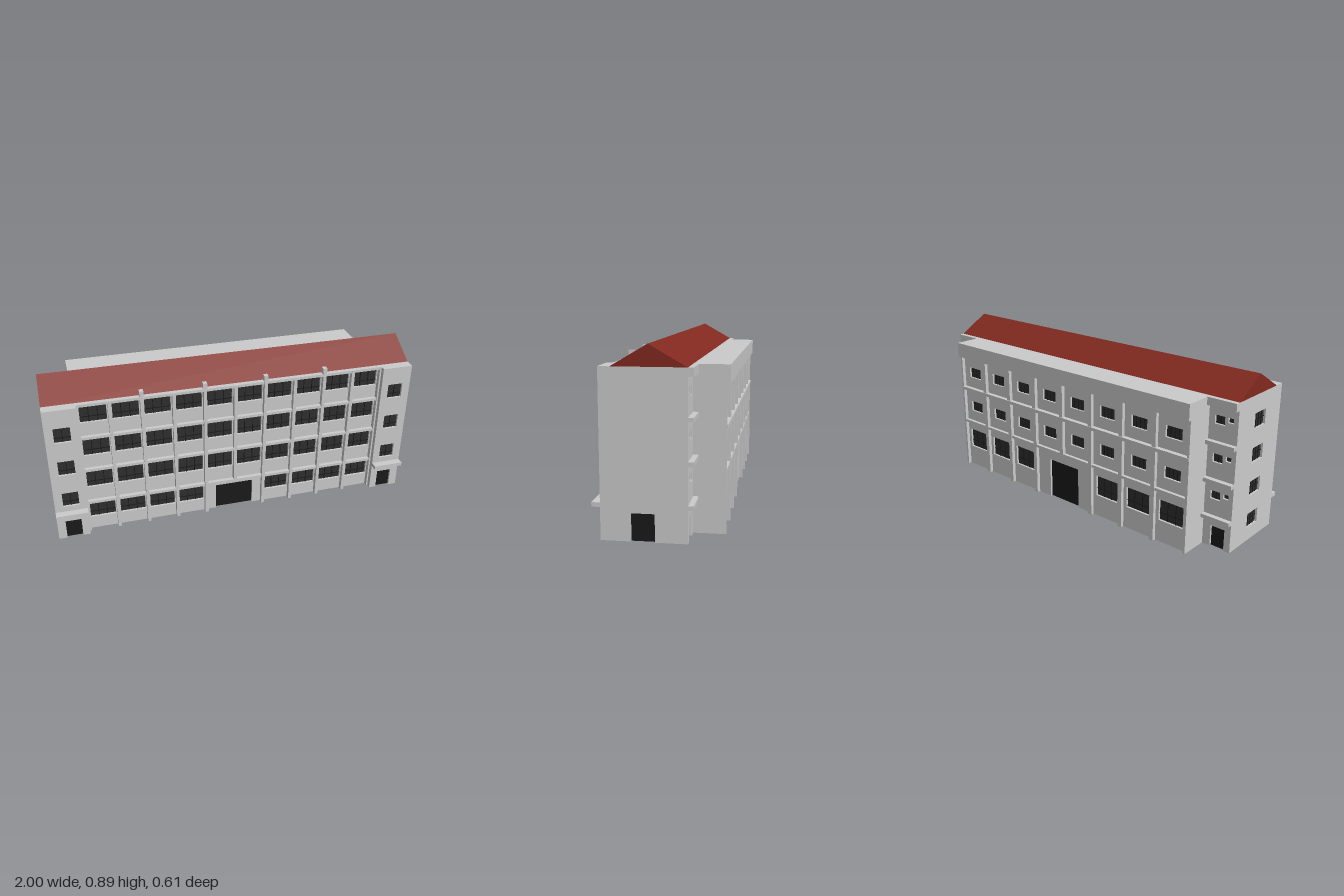
import * as THREE from 'three';

const WALL = new THREE.MeshStandardMaterial({ color: 0xcccccc });
const ROOF = new THREE.MeshStandardMaterial({ color: 0x82291f });
const GLASS = new THREE.MeshStandardMaterial({ color: 0x2f2f2f });
const DARK = new THREE.MeshStandardMaterial({ color: 0x1a1a1a });

const H = 0.79;   // eaves height
const T = 0.02;   // thickness of the outer walls

// Box given by its limits on each axis
function box(parent, name, [x0, x1], [y0, y1], [z0, z1], material = WALL) {
  const mesh = new THREE.Mesh(new THREE.BoxGeometry(x1 - x0, y1 - y0, z1 - z0), material);
  mesh.position.set((x0 + x1) / 2, (y0 + y1) / 2, (z0 + z1) / 2);
  mesh.name = name;
  parent.add(mesh);
  return mesh;
}

// Outer wall from x0 to x1 with its face on local z = 0.
// windows: { x, y, w, h, cols, sill } about their centre; doors: { x, w, h } on the ground
function facade(name, x0, x1, windows, doors = []) {
  const group = new THREE.Group();
  group.name = name;

  // Outline, notched at the bottom for doors
  const shape = new THREE.Shape();
  shape.moveTo(x0, 0);
  for (const d of doors) {
    const a = d.x - d.w / 2, b = d.x + d.w / 2;
    shape.lineTo(a, 0);
    shape.lineTo(a, d.h);
    shape.lineTo(b, d.h);
    shape.lineTo(b, 0);
    box(group, 'door', [a, b], [0, d.h], [-T, -0.012], DARK);
  }
  shape.lineTo(x1, 0);
  shape.lineTo(x1, H);
  shape.lineTo(x0, H);
  shape.closePath();

  for (const { x, y, w, h, cols = 1, sill = 0 } of windows) {
    const a = x - w / 2, b = x + w / 2, c = y - h / 2, d = y + h / 2;
    const hole = new THREE.Path();
    hole.moveTo(a, c);
    hole.lineTo(a, d);
    hole.lineTo(b, d);
    hole.lineTo(b, c);
    hole.closePath();
    shape.holes.push(hole);
    box(group, 'windowPane', [a, b], [c, d], [-T, -0.012], GLASS);
    // Glazing bars
    for (let i = 1; i < cols; i++) {
      const m = a + (w * i) / cols;
      box(group, 'mullion', [m - 0.002, m + 0.002], [c, d], [-T, -0.009], DARK);
    }
    if (sill) {
      const m = c + h * sill;
      box(group, 'transom', [a, b], [m - 0.002, m + 0.002], [-T, -0.009], DARK);
    }
  }

  const geometry = new THREE.ExtrudeGeometry(shape, { depth: T, bevelEnabled: false });
  const wall = new THREE.Mesh(geometry, WALL);
  wall.position.z = -T;
  wall.name = 'wall';
  group.add(wall);
  return group;
}

function place(parent, group, x, z, angle) {
  group.position.set(x, 0, z);
  group.rotation.y = angle;
  parent.add(group);
}

export function createModel() {
  const model = new THREE.Group();
  model.name = 'building';

  // Solid cores behind the outer walls
  box(model, 'mainCore', [-0.98, 0.98], [0, H], [-0.115, 0.195]);
  box(model, 'rearCore', [-0.84, 0.84], [0, H], [-0.25, -0.115]);
  box(model, 'leftTowerCore', [0.83, 0.98], [0, H], [0.195, 0.245]);
  box(model, 'rightTowerCore', [-0.98, -0.83], [0, H], [0.195, 0.245]);

  // Front wall: ten bays on four floors, entrance in the middle
  const bay = 0.166, frontWindows = [];
  for (let floor = 0; floor < 4; floor++) {
    for (let i = 0; i < 10; i++) {
      if (floor === 0 && (i === 4 || i === 5)) continue;
      frontWindows.push({
        x: -0.83 + bay * (i + 0.5), y: 0.125 + 0.199 * floor,
        w: 0.138, h: 0.098, cols: 3, sill: 0.3,
      });
    }
  }
  place(model, facade('frontWall', -0.83, 0.83, frontWindows, [{ x: 0, w: 0.215, h: 0.155 }]), 0, 0.215, 0);

  // Front pillars and floor bands
  for (let i = 0; i <= 10; i++) {
    const x = -0.83 + bay * i;
    const lo = Math.max(x - 0.009, -0.83), hi = Math.min(x + 0.009, 0.83);
    box(model, 'frontPillar', [lo, hi], [i === 5 ? 0.195 : 0, H], [0.215, 0.24]);
  }
  for (const y of [0.178, 0.385, 0.582, 0.775]) {
    box(model, 'frontBand', [-0.83, 0.83], [y, y + 0.015], [0.215, 0.236]);
  }

  // Chimneys along the front eave
  for (const i of [2, 4, 6, 8]) {
    const x = -0.83 + bay * i;
    box(model, 'chimney', [x - 0.011, x + 0.011], [H, 0.823], [0.211, 0.238]);
  }

  // End towers: front and rear walls, canopies and ledges, mirrored
  for (const s of [1, -1]) {
    const span = (a, b) => (s > 0 ? [a, b] : [-b, -a]);
    const front = [0.25, 0.447, 0.645].map((y) => ({ x: s * 0.913, y, w: 0.085, h: 0.085, cols: 2, sill: 0.3 }));
    place(model, facade('towerFront', ...span(0.83, 1), front, [{ x: s * 0.913, w: 0.085, h: 0.11 }]), 0, 0.265, 0);
    box(model, 'canopy', span(0.83, 1), [0.155, 0.176], [0.265, 0.305]);

    const rear = [];
    for (const y of [0.29, 0.487, 0.685]) {
      rear.push({ x: -s * 0.9, y: y - 0.005, w: 0.055, h: 0.045, cols: 2 });
      rear.push({ x: -s * 0.96, y: y + 0.005, w: 0.03, h: 0.025 });
    }
    const [a, b] = span(0.84, 1);
    place(model, facade('towerRear', -b, -a, rear, [{ x: -s * 0.925, w: 0.08, h: 0.115 }]), 0, -0.135, Math.PI);
    for (const [y0, y1] of [[0.155, 0.176], [0.353, 0.374], [0.551, 0.572], [0.749, H]]) {
      box(model, 'rearLedge', [a, b], [y0, y1], [-0.161, -0.135]);
    }
  }

  // Side walls: a door on the left, a column of windows on the right
  place(model, facade('leftSide', -0.245, 0.115, [], [{ x: -0.07, w: 0.11, h: 0.132 }]), 1, 0, Math.PI / 2);
  const sideWindows = [0.115, 0.295, 0.475, 0.655].map((y) => ({ x: 0.07, y, w: 0.1, h: 0.08, cols: 4, sill: 0.5 }));
  place(model, facade('rightSide', -0.115, 0.245, sideWindows), -1, 0, -Math.PI / 2);

  // Rear block: eight bays, entrance in the middle
  const rearBay = 0.21, rearWindows = [];
  for (let i = 0; i < 8; i++) {
    const x = -0.84 + rearBay * (i + 0.5);
    if (i !== 3 && i !== 4) rearWindows.push({ x, y: 0.178, w: 0.148, h: 0.115, cols: 3, sill: 0.35 });
    for (const y of [0.395, 0.61]) rearWindows.push({ x, y, w: 0.098, h: 0.062, cols: 4 });
  }
  place(model, facade('rearWall', -0.84, 0.84, rearWindows, [{ x: 0, w: 0.215, h: 0.23 }]), 0, -0.27, Math.PI);

  // Rear pillars, bands and parapet
  for (let i = 0; i <= 8; i++) {
    const x = -0.84 + rearBay * i;
    const lo = Math.max(x - 0.012, -0.84), hi = Math.min(x + 0.012, 0.84);
    box(model, 'rearPillar', [lo, hi], [i === 4 ? 0.3 : 0, 0.705], [-0.29, -0.27]);
  }
  box(model, 'rearLowerBand', [-0.84, 0.84], [0.285, 0.3], [-0.288, -0.27]);
  box(model, 'rearUpperBand', [-0.84, 0.84], [0.498, 0.516], [-0.295, -0.27]);
  box(model, 'parapet', [-0.84, 0.84], [0.705, H], [-0.305, -0.27]);

  // Gabled roof: triangle in the z-y plane run along x
  const gable = new THREE.Shape([[-0.21, H], [0.135, H], [-0.04, 0.89]].map(([x, y]) => new THREE.Vector2(x, y)));
  const roof = new THREE.Mesh(new THREE.ExtrudeGeometry(gable, { depth: 2, bevelEnabled: false }), ROOF);
  roof.rotation.y = Math.PI / 2;
  roof.position.x = -1;
  roof.name = 'roof';
  model.add(roof);

  return model;
}
